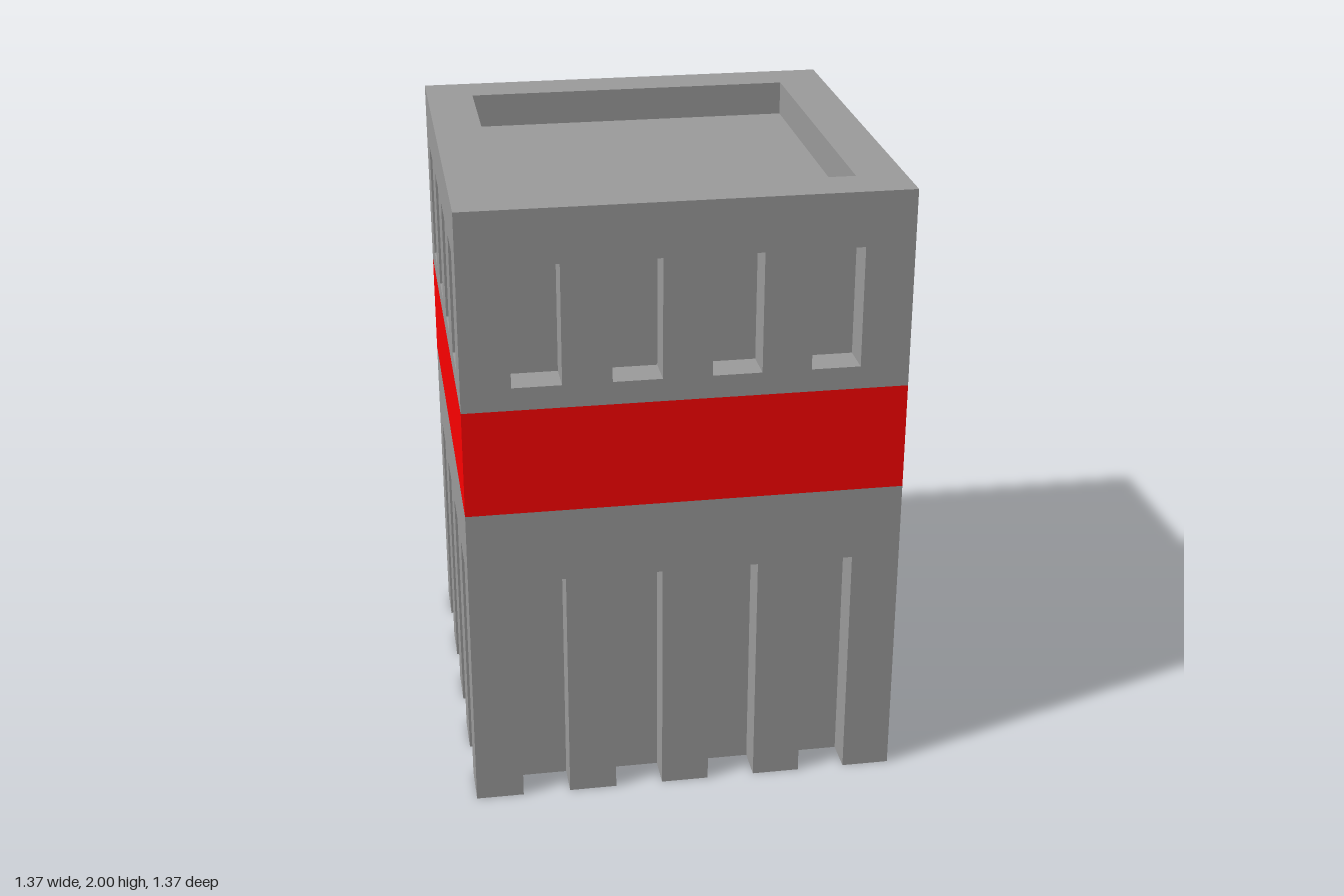
import * as THREE from 'three';
import { mergeGeometries } from 'three/addons/utils/BufferGeometryUtils.js';

const HALF = 0.685;            // half width of the tower
const UNIT = (2 * HALF) / 9;   // width of one pillar or one slot
const DEPTH = 0.11;            // depth of slots and roof recess
const HEIGHT = 2;
const BAND = [1.027, 1.371];   // bottom and top of the coloured band
const SLOT_TOP = 0.787;
const WINDOW = [1.444, 1.828];

const grey = new THREE.MeshStandardMaterial({ color: 0x9c9c9c, side: THREE.DoubleSide });
const red = new THREE.MeshStandardMaterial({ color: 0xff0000, side: THREE.DoubleSide });

// Left edges of the four evenly spaced slots
const slotStarts = [1, 3, 5, 7].map((i) => -HALF + i * UNIT);

function rectPath(Type, x0, y0, x1, y1) {
  return new Type([[x0, y0], [x1, y0], [x1, y1], [x0, y1]].map(([x, y]) => new THREE.Vector2(x, y)));
}

// Flat four-cornered face, corners counter-clockwise
function quad(...corners) {
  const g = new THREE.BufferGeometry();
  g.setAttribute('position', new THREE.Float32BufferAttribute(corners.flat(), 3));
  g.setIndex([0, 1, 2, 0, 2, 3]);
  g.computeVertexNormals();
  return g;
}

// Recess sunk back from the plane z = f, optionally without a floor
function pocket(x0, x1, y0, y1, f, hasFloor = true) {
  const b = f - DEPTH;
  const faces = [
    quad([x0, y0, b], [x1, y0, b], [x1, y1, b], [x0, y1, b]),
    quad([x0, y0, f], [x0, y0, b], [x0, y1, b], [x0, y1, f]),
    quad([x1, y0, b], [x1, y0, f], [x1, y1, f], [x1, y1, b]),
    quad([x0, y1, b], [x1, y1, b], [x1, y1, f], [x0, y1, f]),
  ];
  if (hasFloor) faces.push(quad([x0, y0, f], [x1, y0, f], [x1, y0, b], [x0, y0, b]));
  return mergeGeometries(faces);
}

function addMesh(parent, name, geometry, material = grey) {
  const mesh = new THREE.Mesh(geometry, material);
  mesh.name = name;
  parent.add(mesh);
}

function createSide(name) {
  const side = new THREE.Group();
  side.name = name;

  // Lower wall, notched at the foot into pillars
  const outline = [[-HALF, 0]];
  for (const x of slotStarts) outline.push([x, 0], [x, SLOT_TOP], [x + UNIT, SLOT_TOP], [x + UNIT, 0]);
  outline.push([HALF, 0], [HALF, BAND[0]], [-HALF, BAND[0]]);
  const lower = new THREE.Shape(outline.map(([x, y]) => new THREE.Vector2(x, y)));
  addMesh(side, 'lowerWall', new THREE.ShapeGeometry(lower).translate(0, 0, HALF));

  // Coloured band
  const band = rectPath(THREE.Shape, -HALF, BAND[0], HALF, BAND[1]);
  addMesh(side, 'band', new THREE.ShapeGeometry(band).translate(0, 0, HALF), red);

  // Upper wall with window openings
  const upper = rectPath(THREE.Shape, -HALF, BAND[1], HALF, HEIGHT);
  for (const x of slotStarts) upper.holes.push(rectPath(THREE.Path, x, WINDOW[0], x + UNIT, WINDOW[1]));
  addMesh(side, 'upperWall', new THREE.ShapeGeometry(upper).translate(0, 0, HALF));

  // Recesses behind the openings
  for (const x of slotStarts) {
    addMesh(side, 'lowerSlot', pocket(x, x + UNIT, 0, SLOT_TOP, HALF, false));
    addMesh(side, 'windowRecess', pocket(x, x + UNIT, WINDOW[0], WINDOW[1], HALF));
  }
  return side;
}

export function createModel() {
  const tower = new THREE.Group();
  tower.name = 'tower';

  // Four identical sides, open underneath
  ['frontSide', 'leftSide', 'backSide', 'rightSide'].forEach((name, i) => {
    const side = createSide(name);
    side.rotation.y = (i * Math.PI) / 2;
    tower.add(side);
  });

  // Ceiling over the hollow base, facing down
  addMesh(tower, 'baseCeiling', new THREE.PlaneGeometry(2 * HALF, 2 * HALF).rotateX(Math.PI / 2).translate(0, BAND[0], 0));

  // Parapet rim and sunken roof
  const inner = HALF - UNIT;
  const rim = rectPath(THREE.Shape, -HALF, -HALF, HALF, HALF);
  rim.holes.push(rectPath(THREE.Path, -inner, -inner, inner, inner));
  addMesh(tower, 'parapetRim', new THREE.ShapeGeometry(rim).rotateX(-Math.PI / 2).translate(0, HEIGHT, 0));
  addMesh(tower, 'sunkenRoof', pocket(-inner, inner, -inner, inner, HEIGHT).rotateX(-Math.PI / 2));

  return tower;
}
